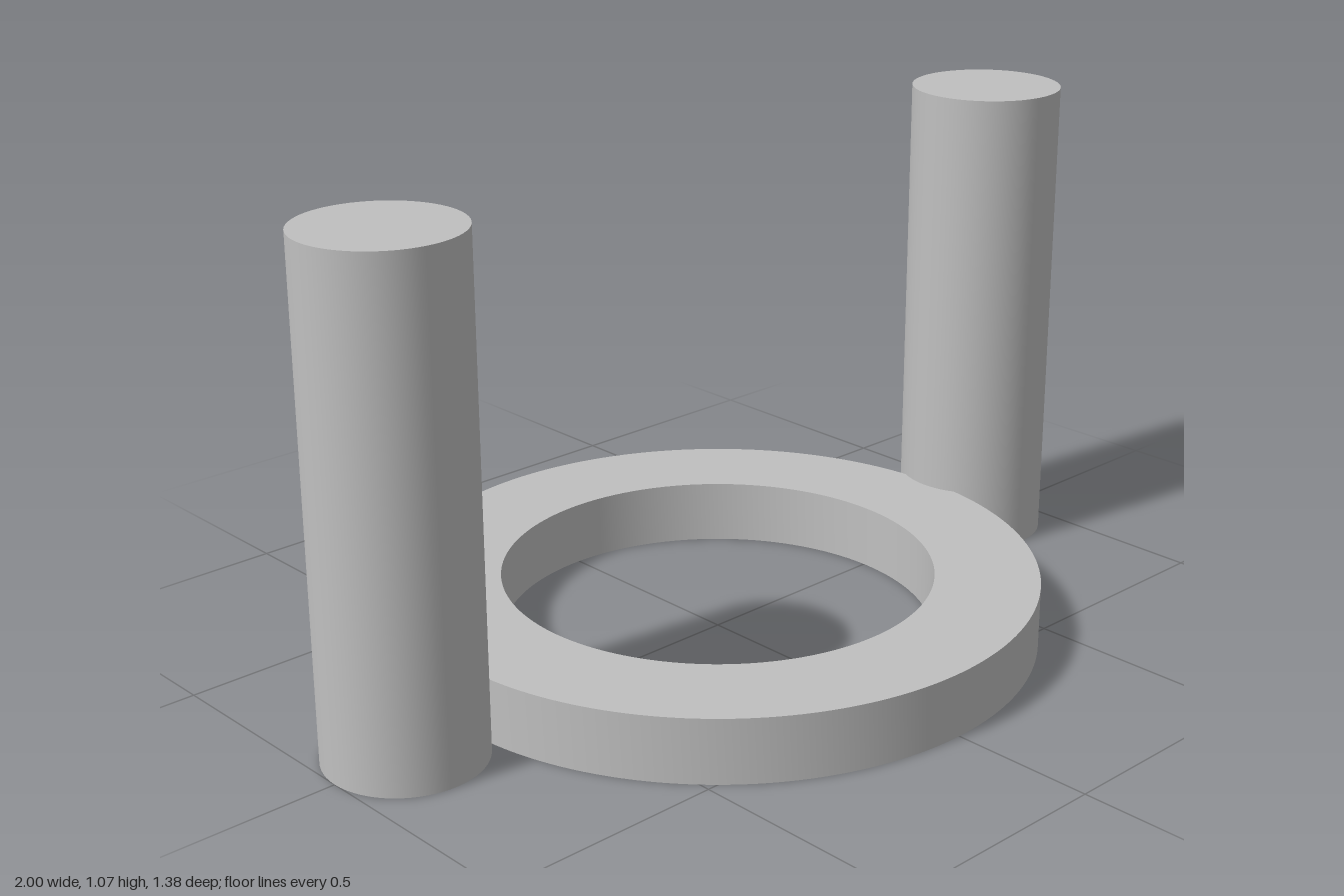
import * as THREE from 'three';
import { toCreasedNormals } from 'three/addons/utils/BufferGeometryUtils.js';

const RING = { outer: 0.69, inner: 0.465, height: 0.14 };
const POST = { radius: 0.166, height: 1.065, x: 0.834 };

export function createModel() {
  const model = new THREE.Group();
  model.name = 'ringWithPosts';

  const grey = new THREE.MeshStandardMaterial({ color: 0xc0c0c0 });
  grey.name = 'light grey';

  // Flat base ring with a round opening
  const outline = new THREE.Shape().absarc(0, 0, RING.outer, 0, Math.PI * 2, false);
  outline.holes.push(new THREE.Path().absarc(0, 0, RING.inner, 0, Math.PI * 2, true));
  const ringGeometry = new THREE.ExtrudeGeometry(outline, {
    depth: RING.height, bevelEnabled: false, curveSegments: 96,
  });
  ringGeometry.rotateX(-Math.PI / 2);
  const ring = new THREE.Mesh(toCreasedNormals(ringGeometry, Math.PI / 6), grey);
  ring.name = 'baseRing';
  model.add(ring);

  // Two upright posts overlapping the rim on either side
  const postGeometry = new THREE.CylinderGeometry(POST.radius, POST.radius, POST.height, 64);
  for (const [name, side] of [['leftPost', 1], ['rightPost', -1]]) {
    const post = new THREE.Mesh(postGeometry, grey);
    post.name = name;
    post.position.set(side * POST.x, POST.height / 2, 0);
    model.add(post);
  }

  return model;
}
